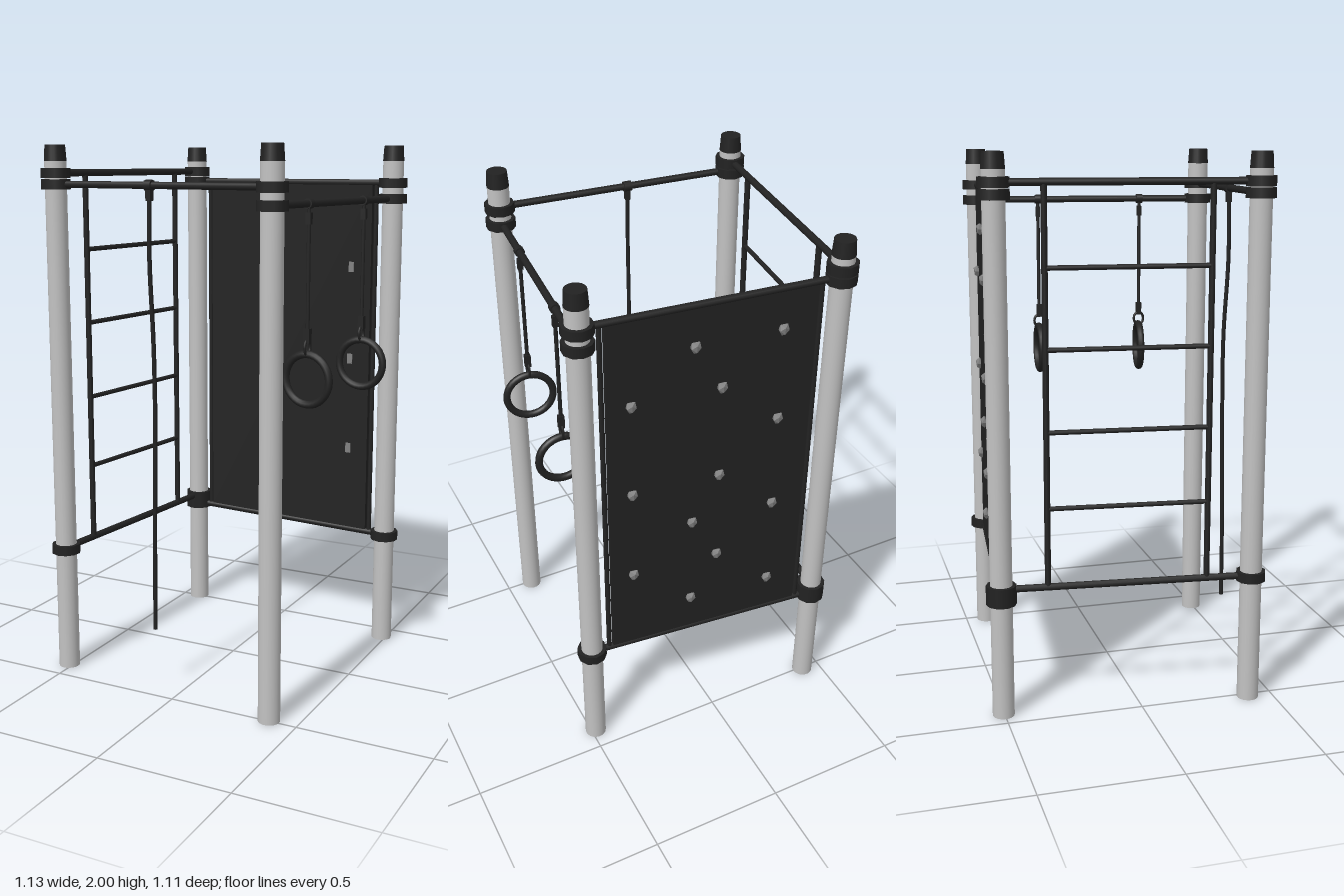
import * as THREE from 'three';

export function createModel() {
  const mat = (name, color) => Object.assign(new THREE.MeshStandardMaterial({ color }), { name });
  const steel = mat('light steel', 0xc2c2c2);
  const black = mat('black', 0x222222);
  const stone = mat('grey hold', 0x808080);

  const root = new THREE.Group();
  root.name = 'climbingFrame';
  const frame = new THREE.Group();
  frame.name = 'frame';
  frame.position.set(-0.0175, 0, -0.004);
  frame.rotation.y = -0.0975;
  root.add(frame);

  const add = (name, geo, material, x = 0, y = 0, z = 0, parent = frame) => {
    const m = new THREE.Mesh(geo, material);
    m.name = name;
    m.position.set(x, y, z);
    parent.add(m);
    return m;
  };
  // round bar between two points
  const bar = (name, a, b, r, parent = frame) => {
    const p = new THREE.Vector3(...a), q = new THREE.Vector3(...b);
    const m = add(name, new THREE.CylinderGeometry(r, r, p.distanceTo(q), 10), black, 0, 0, 0, parent);
    m.position.copy(p).add(q).multiplyScalar(0.5);
    m.quaternion.setFromUnitVectors(new THREE.Vector3(0, 1, 0), q.sub(p).normalize());
    return m;
  };

  // posts with caps and clamp collars
  const H = 0.457;
  const posts = [
    ['backRight', -H, -H, [1.9, 1.86, 0.48, 0.445]],
    ['backLeft', H, -H, [1.86, 1.8, 0.445]],
    ['frontLeft', H, H, [1.86, 1.8]],
    ['frontRight', -H, H, [1.9, 1.86, 0.48]],
  ];
  for (const [name, x, z, collars] of posts) {
    add(name + 'Post', new THREE.CylinderGeometry(0.04, 0.04, 1.945, 20), steel, x, 0.9725, z);
    add(name + 'Cap', new THREE.CylinderGeometry(0.037, 0.041, 0.058, 20), black, x, 1.971, z);
    for (const y of collars) {
      add(name + 'Collar', new THREE.CylinderGeometry(0.055, 0.055, 0.036, 10), black, x, y, z);
    }
  }

  // horizontal bars between posts
  const R = 0.013;
  bar('ropeBar', [-H, 1.86, H], [H, 1.86, H], R);
  bar('ringBar', [H, 1.8, -H], [H, 1.8, H], R);
  for (const y of [1.86, 0.445]) bar('wallBar', [-H, y, -H], [H, y, -H], R);
  for (const y of [1.9, 0.48]) bar('ladderBar', [-H, y, -H], [-H, y, H], R);

  // ladder
  for (const z of [-0.29, 0.29]) bar('ladderRail', [-H, 0.48, z], [-H, 1.9, z], 0.011);
  for (const y of [0.77, 1.045, 1.335, 1.615]) bar('ladderRung', [-H, y, -0.29], [-H, y, 0.29], 0.009);

  // climbing wall
  add('wallPanel', new THREE.BoxGeometry(0.748, 1.4, 0.018), black, 0, 1.1525, -H);
  for (const x of [-0.388, 0.388]) bar('wallUpright', [x, 0.445, -H], [x, 1.86, -H], 0.009);

  // faceted holds, wide at the top and tapering downwards
  const holdGeo = new THREE.IcosahedronGeometry(0.02, 0);
  const p = holdGeo.attributes.position;
  for (let i = 0; i < p.count; i++) {
    const y = p.getY(i);
    p.setXYZ(i, p.getX(i) * (1 + y * 22), y * 1.25, p.getZ(i) * (0.75 + y * 10));
  }
  holdGeo.computeVertexNormals();
  const holds = [
    [0.29, [1.53, 1.16, 0.79]],
    [0.065, [1.71, 0.97, 0.6]],
    [-0.035, [1.53, 1.16, 0.79]],
    [-0.25, [1.71, 1.35, 0.97, 0.6]],
  ];
  for (const [x, ys] of holds) {
    for (const y of ys) {
      add('climbingHold', holdGeo, stone, x, y, -H - 0.014);
      // bolt plate on the inner face
      if (x === -0.035 || x === 0.29) {
        add('holdFixing', new THREE.BoxGeometry(0.022, 0.04, 0.006), stone, x, y, -H + 0.01);
      }
    }
  }

  // climbing rope
  const ropePath = new THREE.CatmullRomCurve3([
    [-0.037, 1.86, H], [-0.037, 1.6, H + 0.004], [-0.033, 1.3, H - 0.008],
    [-0.028, 1.0, H - 0.005], [-0.03, 0.6, H + 0.003], [-0.031, 0.24, H + 0.006],
  ].map((v) => new THREE.Vector3(...v)));
  add('climbingRope', new THREE.TubeGeometry(ropePath, 40, 0.008, 8), black);
  const ropeClamp = add('ropeClamp', new THREE.CylinderGeometry(0.019, 0.019, 0.03, 12), black, -0.037, 1.86, H);
  ropeClamp.rotation.z = Math.PI / 2;
  add('ropeHanger', new THREE.BoxGeometry(0.02, 0.045, 0.02), black, -0.037, 1.83, H);

  // gymnastic rings
  for (const z of [-0.21, 0.21]) {
    const g = new THREE.Group();
    g.name = 'gymRing';
    g.position.set(H, 0, z);
    frame.add(g);
    const clamp = add('ringClamp', new THREE.CylinderGeometry(0.018, 0.018, 0.025, 12), black, 0, 1.8, 0, g);
    clamp.rotation.x = Math.PI / 2;
    bar('ringStrap', [0, 1.8, 0], [0, 1.33, 0], 0.007, g);
    add('upperBuckle', new THREE.BoxGeometry(0.02, 0.04, 0.016), black, 0, 1.75, 0, g);
    add('lowerBuckle', new THREE.BoxGeometry(0.022, 0.05, 0.02), black, 0, 1.345, 0, g);
    const loop = add('ringLoop', new THREE.TorusGeometry(0.02, 0.005, 6, 16), black, 0, 1.303, 0, g);
    loop.rotation.y = Math.PI / 2;
    loop.scale.y = 1.3;
    const ring = add('ring', new THREE.TorusGeometry(0.09, 0.014, 10, 32), black, 0, 1.19, 0, g);
    ring.rotation.y = z > 0 ? -0.06 : 0.03;
  }

  return root;
}
